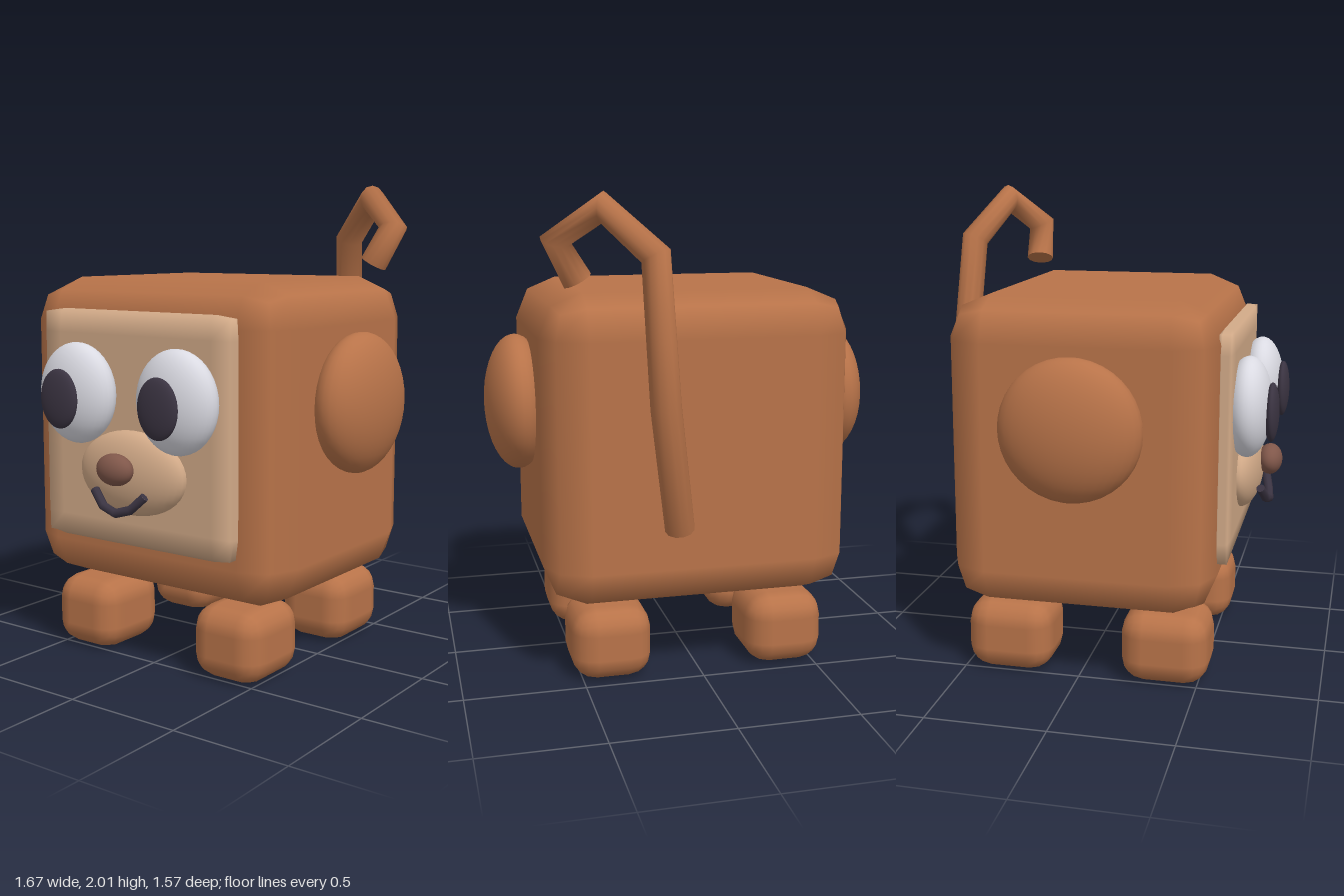
import * as THREE from 'three';
import { RoundedBoxGeometry } from 'three/addons/geometries/RoundedBoxGeometry.js';

const mat = (name, color) => {
  const m = new THREE.MeshStandardMaterial({ color });
  m.name = name;
  return m;
};

// Straight-segment path with averaged tangents at the bends
class Polyline extends THREE.Curve {
  constructor(points) {
    super();
    this.points = points.map((p) => new THREE.Vector3(...p));
  }
  getUtoTmapping(u) { return u; }
  getPoint(t, target = new THREE.Vector3()) {
    const n = this.points.length - 1;
    const i = Math.min(Math.floor(t * n + 1e-6), n - 1);
    return target.lerpVectors(this.points[i], this.points[i + 1], t * n - i);
  }
  getTangent(t, target = new THREE.Vector3()) {
    const p = this.points, n = p.length - 1, i = Math.round(t * n);
    target.set(0, 0, 0);
    if (i > 0) target.add(p[i].clone().sub(p[i - 1]).normalize());
    if (i < n) target.add(p[i + 1].clone().sub(p[i]).normalize());
    return target.normalize();
  }
}

export function createModel() {
  const root = new THREE.Group();
  const fur = mat('brown fur', 0xb87349);
  const skin = mat('tan skin', 0xd2aa88);
  const white = mat('eye white', 0xdadae2);
  const dark = mat('dark pupil', 0x3b3442);
  const noseBrown = mat('nose brown', 0x80574a);

  const add = (name, geo, material, pos = [0, 0, 0], parent = root) => {
    const m = new THREE.Mesh(geo, material);
    m.name = name;
    m.position.set(...pos);
    parent.add(m);
    return m;
  };
  const ellipsoid = (name, radii, material, pos) =>
    add(name, new THREE.SphereGeometry(1, 32, 20).scale(...radii), material, pos);

  // Bent rod with closed ends
  const rod = (name, points, radius, sides, material) => {
    const g = new THREE.Group();
    g.name = name;
    root.add(g);
    const curve = new Polyline(points);
    add(name + 'Rod', new THREE.TubeGeometry(curve, points.length - 1, radius, sides), material, [0, 0, 0], g);
    for (const t of [0, 1]) {
      const p = curve.getPoint(t);
      const cap = add(name + 'Cap', new THREE.CircleGeometry(radius, sides), material, p.toArray(), g);
      cap.lookAt(p.clone().addScaledVector(curve.getTangent(t), t ? 1 : -1));
    }
  };

  // Body block
  add('body', new RoundedBoxGeometry(1.3, 1.3, 1.115, 1, 0.18), fur, [0, 0.96, 0.018]);

  // Feet
  for (const x of [-0.375, 0.375])
    for (const z of [0.36, -0.305])
      add('foot', new RoundedBoxGeometry(0.335, 0.305, 0.37, 2, 0.1), fur, [x, 0.153, z]);

  // Face plate: box with soft, slightly pulled-in corners
  const plate = new THREE.BoxGeometry(2, 2, 2, 3, 3, 3);
  const pos = plate.attributes.position, nor = plate.attributes.normal;
  const half = [0.487, 0.48, 0.032], inner = [0.8, 0.8, 0.45], pulled = [0.975, 0.975, 0.75];
  for (let i = 0; i < pos.count; i++) {
    const v = [pos.getX(i), pos.getY(i), pos.getZ(i)];
    const outer = v.map((c) => Math.abs(c) > 0.9);
    const count = outer.filter(Boolean).length;
    const n = new THREE.Vector3(...v.map((c, k) => (outer[k] ? Math.sign(c) : 0))).normalize();
    const p = v.map((c, k) => Math.sign(c) * half[k] * (!outer[k] ? inner[k] : count > 1 ? pulled[k] : 1));
    pos.setXYZ(i, ...p);
    nor.setXYZ(i, n.x, n.y, n.z);
  }
  add('facePlate', plate, skin, [0, 1.006, 0.588]);

  // Ears, eyes and pupils
  for (const s of [-1, 1]) {
    ellipsoid('ear', [0.136, 0.288, 0.29], fur, [s * 0.7, 1.113, 0.02]);
    ellipsoid('eye', [0.189, 0.208, 0.098], white, [s * 0.258, 1.148, 0.66]);
    ellipsoid('pupil', [0.097, 0.122, 0.03], dark, [s * 0.256 - 0.017, 1.132, 0.757]);
  }

  // Muzzle, nose and mouth
  ellipsoid('muzzle', [0.272, 0.174, 0.085], skin, [0, 0.836, 0.62]);
  ellipsoid('nose', [0.087, 0.065, 0.052], noseBrown, [0, 0.867, 0.733]);
  rod('mouth', [
    [-0.13, 0.768, 0.707], [-0.07, 0.71, 0.725], [0, 0.69, 0.733],
    [0.07, 0.71, 0.725], [0.13, 0.768, 0.707],
  ], 0.019, 8, dark);

  // Tail rising behind the body and hooking forward
  rod('tail', [
    [0.12, 0.67, -0.56], [0.215, 1.2, -0.725], [0.24, 1.77, -0.67],
    [0.42, 1.947, -0.56], [0.585, 1.82, -0.45], [0.5, 1.665, -0.435],
  ], 0.061, 12, fur);

  return root;
}
